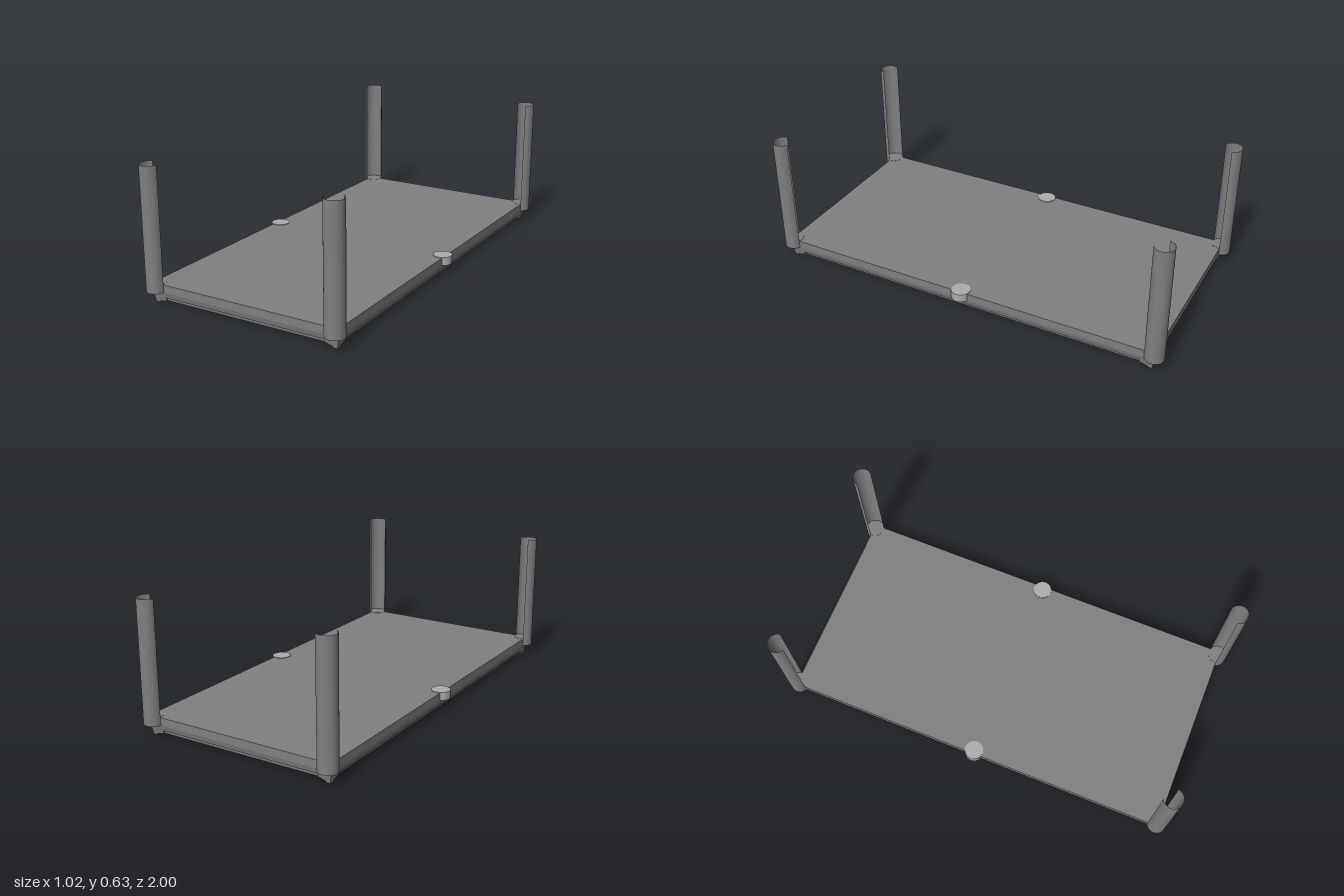
import * as THREE from 'three';

const HX = 0.48, HZ = 0.96;                    // half size of the bed
const PX = 0.4625, PZ = 0.9545, R = 0.0455;    // post centres and radius
const FLOOR = 0.055, TOP = 0.635;

const dark = new THREE.MeshStandardMaterial({ color: 0x808080 });
const darkFlat = new THREE.MeshStandardMaterial({ color: 0x808080, flatShading: true });
const darkThin = new THREE.MeshStandardMaterial({ color: 0x808080, side: THREE.DoubleSide });
const light = new THREE.MeshStandardMaterial({ color: 0xadadad });

function add(parent, name, geometry, material, x = 0, y = 0, z = 0) {
  const mesh = new THREE.Mesh(geometry, material);
  mesh.name = name;
  mesh.position.set(x, y, z);
  parent.add(mesh);
}

// Stack of rectangles [inset, y] listed from the top down, closed at both ends
function stackedRectangles(levels) {
  const pos = [], index = [];
  for (const [inset, y] of levels) {
    const x = HX - inset, z = HZ - inset;
    pos.push(-x, y, z, x, y, z, x, y, -z, -x, y, -z);
  }
  for (let l = 0; l < levels.length - 1; l++) {
    for (let i = 0; i < 4; i++) {
      const a = l * 4 + i, b = l * 4 + (i + 1) % 4;
      index.push(a, a + 4, b, b, a + 4, b + 4);
    }
  }
  const e = (levels.length - 1) * 4;
  index.push(0, 1, 2, 0, 2, 3, e, e + 2, e + 1, e, e + 3, e + 2);
  const indexed = new THREE.BufferGeometry();
  indexed.setAttribute('position', new THREE.Float32BufferAttribute(pos, 3));
  indexed.setIndex(index);
  const g = indexed.toNonIndexed();
  g.computeVertexNormals();
  return g;
}

// Arc of a corner post that lies outside the bed edges
function postShell(sx, sz) {
  const from = Math.PI - Math.asin((HZ - PZ) / R);
  const to = -Math.acos((HX - PX) / R);
  const n = 30, pos = [], index = [];
  for (let i = 0; i <= n; i++) {
    const a = from + (to - from) * i / n;
    const x = sx * R * Math.cos(a), z = sz * R * Math.sin(a);
    pos.push(x, FLOOR, z, x, TOP, z);
    if (i === n) continue;
    const k = i * 2;
    if (sx * sz > 0) index.push(k, k + 1, k + 2, k + 1, k + 3, k + 2);
    else index.push(k, k + 2, k + 1, k + 1, k + 2, k + 3);
  }
  // wind the faces so that they look outwards
  index.reverse();
  const g = new THREE.BufferGeometry();
  g.setAttribute('position', new THREE.Float32BufferAttribute(pos, 3));
  g.setIndex(index);
  g.computeVertexNormals();
  return g;
}

// One arm of a corner foot: low at the outer end, rising inwards, leaning in below
function footArm(sx, sz, alongX) {
  const len = 0.07, wide = 0.03;
  const w = alongX ? len : wide, d = alongX ? wide : len;
  const g = new THREE.BoxGeometry(w, FLOOR, d);
  const p = g.attributes.position;
  for (let i = 0; i < p.count; i++) {
    const outX = p.getX(i) * sx > 0, outZ = p.getZ(i) * sz > 0;
    let x = HX - (outX ? 0 : w), z = HZ - (outZ ? 0 : d), y = FLOOR;
    if (p.getY(i) < 0) {
      y = (alongX ? outX : outZ) ? 0 : 0.016;
      if (outX) x -= 0.009;
      if (outZ) z -= 0.009;
    }
    p.setXYZ(i, sx * x, y, sz * z);
  }
  g.computeVertexNormals();
  return g;
}

// Upright round stub from the post floor to a given height
function stub(height) {
  return new THREE.CylinderGeometry(R, R, height, 32).translate(0, FLOOR + height / 2, 0);
}

export function createModel() {
  const model = new THREE.Group();
  model.name = 'platform';

  // Bed with a narrow lower lip and a slightly recessed underside
  add(model, 'bed', stackedRectangles([
    [0, 0.092], [0, 0.055], [0.006, 0.03], [0.012, 0.03],
    [0.014, 0.015], [0.024, 0.015], [0.024, 0.018],
  ]), darkFlat);

  const middleStub = stub(0.04), cornerStub = stub(0.038);
  for (const sx of [-1, 1]) {
    const side = sx > 0 ? 'left' : 'right';
    // Paler round stub halfway along each long side
    add(model, side + 'MiddleStub', middleStub, light, sx * PX, 0, 0);

    for (const sz of [-1, 1]) {
      const corner = new THREE.Group();
      corner.name = side + (sz > 0 ? 'Front' : 'Back') + 'Corner';
      add(corner, 'post', postShell(sx, sz), darkThin, sx * PX, 0, sz * PZ);
      add(corner, 'postBase', cornerStub, dark, sx * PX, 0, sz * PZ);
      for (const alongX of [true, false]) {
        add(corner, 'foot', footArm(sx, sz, alongX), darkFlat);
      }
      model.add(corner);
    }
  }
  return model;
}
